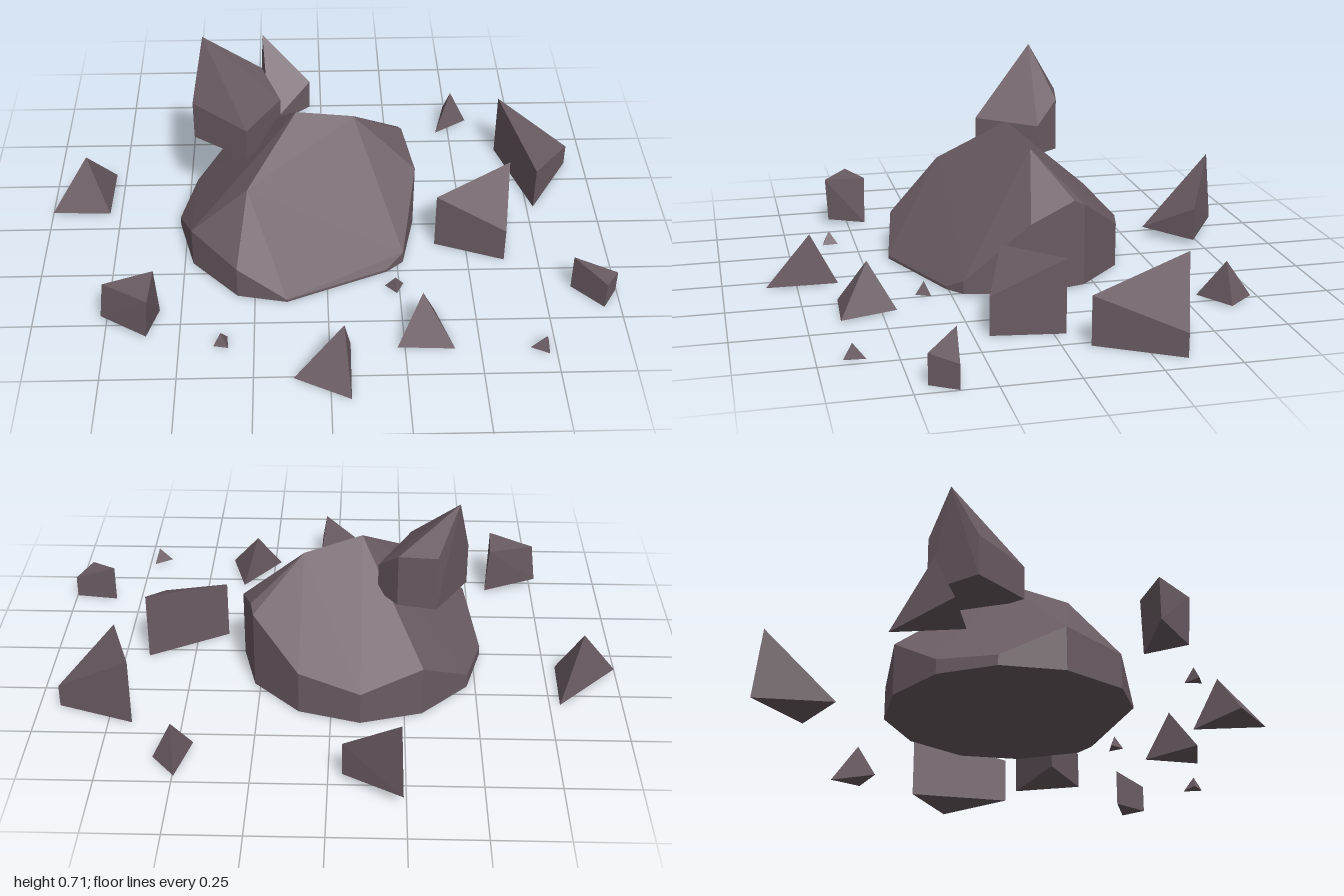
import * as THREE from 'three';
import { ConvexGeometry } from 'three/addons/geometries/ConvexGeometry.js';

const stone = new THREE.MeshStandardMaterial({ color: 0x6a5c63, flatShading: true });
stone.name = 'stone';

// A faceted rock: the convex hull of a few corner points
function rock(name, corners) {
  const geometry = new ConvexGeometry(corners.map(c => new THREE.Vector3(...c)));
  const mesh = new THREE.Mesh(geometry, stone);
  mesh.name = name;
  return mesh;
}

// A three-cornered chip: base corners [x, z] and an apex
const chip = (name, base, apex, y = 0.005) =>
  rock(name, [...base.map(([x, z]) => [x, y, z]), apex]);

// An upright block: plan corners [x, z, top height] above a flat base
const block = (name, plan, base = 0, extra = []) =>
  rock(name, [...plan.flatMap(([x, z, top]) => [[x, base, z], [x, top, z]]), ...extra]);

export function createModel() {
  const group = new THREE.Group();
  group.name = 'rockCluster';

  // Large boulder: round plan with slanted cuts meeting at a ridge
  group.add(block('boulder', [
    [-0.10, -0.43, 0.12], [0.11, -0.37, 0.16], [0.27, -0.21, 0.29],
    [0.32, -0.01, 0.25], [0.27, 0.21, 0.05], [0.21, 0.26, 0.015],
    [-0.14, 0.405, 0.015], [-0.31, 0.37, 0.125], [-0.47, 0.20, 0.155],
    [-0.525, -0.01, 0.04], [-0.47, -0.21, 0.055], [-0.31, -0.37, 0.185],
  ], 0.005, [[-0.10, 0.50, -0.02], [0.10, 0.45, -0.06], [0.28, 0.31, -0.17], [-0.27, 0.335, 0.20]]));

  // Pointed rock hovering over the boulder's shoulder
  group.add(block('pointedRock', [
    [-0.46, -0.08, 0.50], [-0.27, 0.055, 0.475], [-0.155, -0.15, 0.46],
    [-0.22, -0.235, 0.54], [-0.35, -0.262, 0.55],
  ], 0.355, [[-0.42, 0.71, -0.18]]));

  // Chunky loose blocks
  group.add(block('rightBlock', [[0.39, 0.11, 0.215], [0.665, -0.04, 0.25], [0.63, 0.20, 0.13]]));
  group.add(block('backRightBlock', [[0.67, -0.44, 0.245], [0.93, -0.35, 0.08], [0.775, -0.09, 0.165]]));
  group.add(block('smallRightBlock', [[0.845, 0.345, 0.135], [0.998, 0.365, 0.08], [0.945, 0.45, 0.10]]));
  group.add(rock('leftBlock', [
    [-0.75, 0.175, 0.485], [-0.585, 0.18, 0.43], [-0.595, 0.18, 0.58],
    [-0.767, 0.03, 0.485], [-0.573, 0.005, 0.435], [-0.61, 0.015, 0.57],
  ]));
  group.add(rock('backShard', [
    [-0.23, 0.295, -0.83], [-0.045, 0.14, -0.72], [-0.24, 0.04, -0.855],
    [-0.045, 0.02, -0.72], [-0.205, 0.03, -0.575],
  ]));

  // Pyramid chips
  group.add(chip('leftChip', [[-1, -0.09], [-0.79, -0.08], [-0.785, -0.31]], [-0.87, 0.20, -0.17]));
  group.add(chip('frontChip', [[-0.12, 0.76], [0.07, 0.61], [0.065, 0.855]], [0.045, 0.18, 0.70]));
  group.add(chip('frontRightChip', [[0.36, 0.45], [0.415, 0.64], [0.225, 0.63]], [0.31, 0.165, 0.54]));
  group.add(chip('backChip', [[0.495, -0.725], [0.575, -0.63], [0.45, -0.55]], [0.51, 0.14, -0.63]));

  // Pebbles
  group.add(chip('pebbleA', [[0.20, 0.33], [0.265, 0.32], [0.24, 0.37]], [0.235, 0.05, 0.34]));
  group.add(chip('pebbleB', [[-0.385, 0.61], [-0.34, 0.565], [-0.335, 0.62]], [-0.36, 0.05, 0.595]));
  group.add(chip('pebbleC', [[0.665, 0.64], [0.73, 0.60], [0.725, 0.67]], [0.715, 0.055, 0.64]));

  return group;
}
